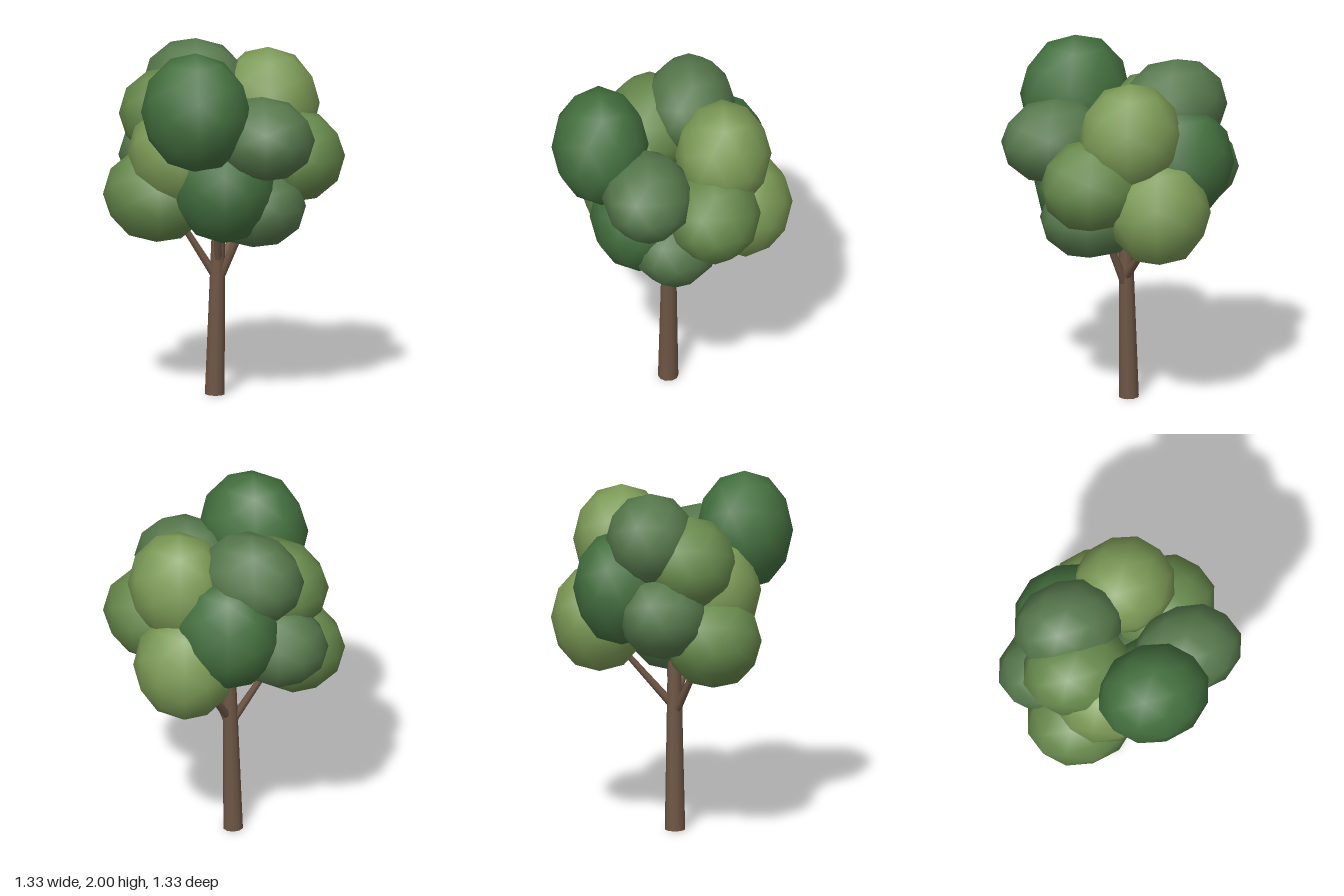
import * as THREE from 'three';

const paint = (color) => {
  const material = new THREE.MeshStandardMaterial();
  material.color.set(color);
  return material;
};

export function createModel() {
  const tree = new THREE.Group();
  tree.name = 'tree';

  const bark = paint(0x6e5644);
  const leaves = {
    dark: paint(0x44703f),
    muted: paint(0x56784c),
    green: paint(0x67894c),
    light: paint(0x7c9a56),
  };

  // Tapered round limb running from one point to another
  function limb(name, from, to, r0, r1, sides) {
    const a = new THREE.Vector3(...from);
    const dir = new THREE.Vector3(...to).sub(a);
    const geometry = new THREE.CylinderGeometry(r1, r0, dir.length(), sides);
    const mesh = new THREE.Mesh(geometry, bark);
    mesh.name = name;
    mesh.position.copy(a).addScaledVector(dir, 0.5);
    mesh.quaternion.setFromUnitVectors(new THREE.Vector3(0, 1, 0), dir.normalize());
    tree.add(mesh);
  }

  // Slightly leaning trunk
  limb('trunk', [-0.035, 0.002, 0.014], [-0.01, 1.1, 0.01], 0.056, 0.034, 10);

  // Branches fanning out into the crown
  [
    [[-0.03, 0.67, 0.02], [-0.21, 1.05, 0.17]],
    [[0.0, 0.67, 0.005], [0.17, 1.05, -0.03]],
    [[-0.01, 0.7, 0.0], [-0.03, 1.05, -0.3]],
    [[-0.01, 0.75, 0.02], [0.06, 1.1, 0.14]],
  ].forEach(([from, to], i) => limb(`branch${i + 1}`, from, to, 0.024, 0.015, 7));

  // Foliage clumps: colour, centre, radii
  const clump = new THREE.IcosahedronGeometry(1, 1);
  const crown = new THREE.Group();
  crown.name = 'crown';
  [
    ['dark', [0.085, 1.665, 0.395], [0.315, 0.335, 0.267]],
    ['muted', [0.36, 1.505, 0.15], [0.305, 0.237, 0.25]],
    ['muted', [-0.245, 1.69, -0.12], [0.308, 0.26, 0.247]],
    ['light', [0.125, 1.605, -0.28], [0.29, 0.31, 0.265]],
    ['green', [0.32, 1.345, -0.215], [0.305, 0.265, 0.26]],
    ['light', [0.01, 1.19, -0.4], [0.287, 0.305, 0.267]],
    ['green', [-0.28, 1.13, 0.225], [0.305, 0.265, 0.265]],
    ['dark', [0.13, 1.22, 0.19], [0.295, 0.32, 0.265]],
    ['muted', [0.2, 1.09, -0.005], [0.31, 0.24, 0.247]],
    ['muted', [-0.36, 1.29, -0.05], [0.305, 0.24, 0.25]],
    ['dark', [-0.19, 1.41, -0.28], [0.31, 0.325, 0.265]],
    ['light', [-0.13, 1.38, 0.22], [0.295, 0.31, 0.267]],
    ['green', [-0.26, 1.56, 0.095], [0.308, 0.265, 0.257]],
  ].forEach(([shade, centre, radii], i) => {
    const mesh = new THREE.Mesh(clump, leaves[shade]);
    mesh.name = `foliage${i + 1}`;
    mesh.position.set(...centre);
    mesh.scale.set(...radii);
    crown.add(mesh);
  });
  tree.add(crown);

  return tree;
}
